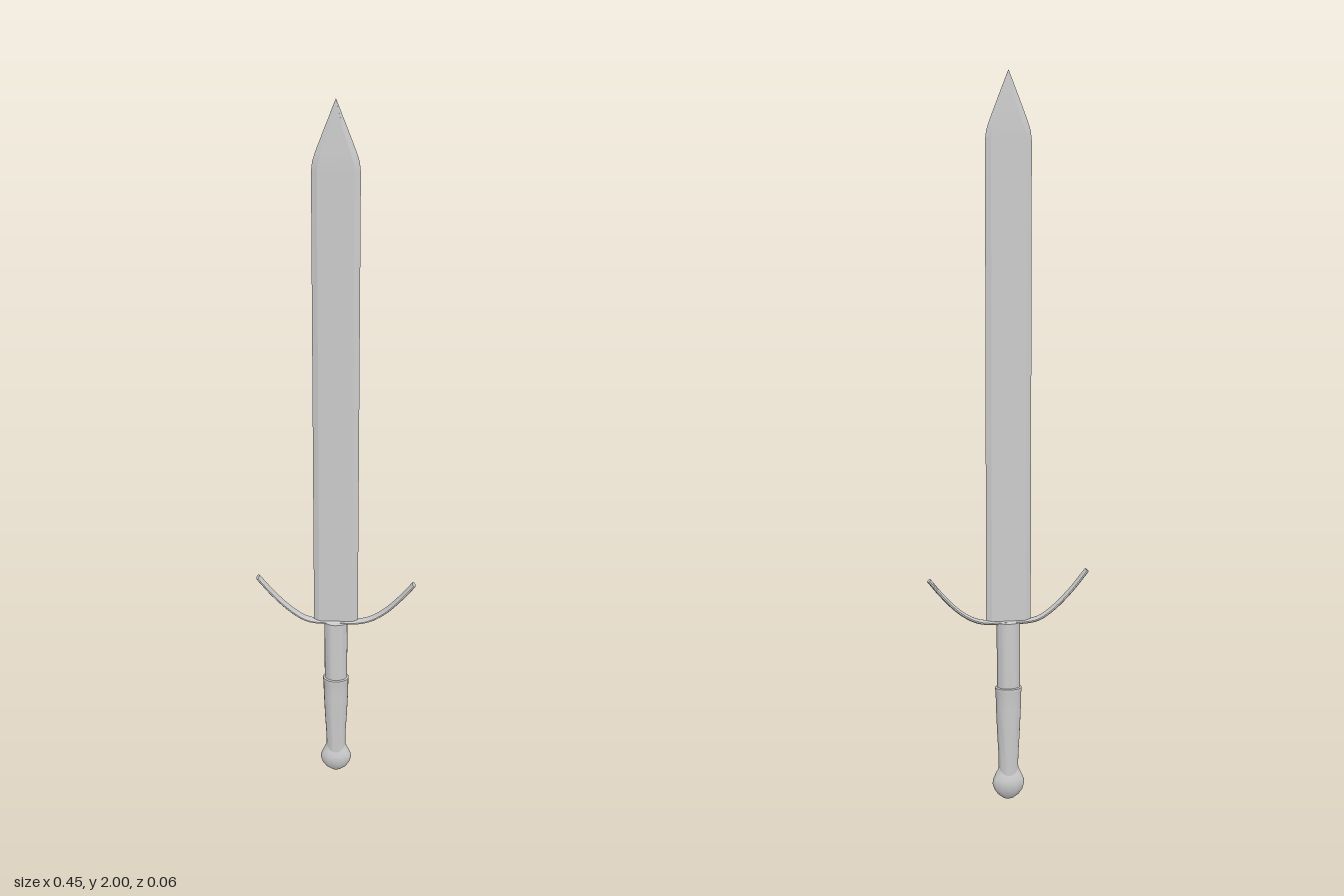
import * as THREE from 'three';
import { mergeVertices, toCreasedNormals } from 'three/addons/utils/BufferGeometryUtils.js';

const material = new THREE.MeshStandardMaterial({ color: 0xcccccc });

// Skin a list of equal-length rings and close both ends
function loft(rings, crease) {
  const n = rings[0].length;
  const index = [];
  for (let r = 0; r < rings.length - 1; r++) {
    for (let i = 0; i < n; i++) {
      const a = r * n + i, b = r * n + (i + 1) % n;
      index.push(a, b, b + n, a, b + n, a + n);
    }
  }
  const last = (rings.length - 1) * n;
  for (let i = 1; i < n - 1; i++) {
    index.push(0, i + 1, i, last, last + i, last + i + 1);
  }
  const geometry = new THREE.BufferGeometry();
  geometry.setAttribute('position', new THREE.Float32BufferAttribute(rings.flat(2), 3));
  geometry.setIndex(index);
  return toCreasedNormals(geometry, crease);
}

// Turned part squashed to an oval section
function turned(profile, depth) {
  const points = profile.map(([x, y]) => new THREE.Vector2(x, y));
  const geometry = new THREE.LatheGeometry(points, 24);
  geometry.deleteAttribute('uv');
  geometry.deleteAttribute('normal');
  geometry.scale(1, 1, depth);
  return toCreasedNormals(mergeVertices(geometry), 0.7);
}

export function createModel() {
  const group = new THREE.Group();
  const add = (name, geometry) => {
    const mesh = new THREE.Mesh(geometry, material);
    mesh.name = name;
    group.add(mesh);
  };

  // Blade: six-sided section [y, half width, half flat, half thickness]
  const sections = [
    [0.515, 0.062, 0.047, 0.008],
    [1.82, 0.062, 0.047, 0.008],
    [1.845, 0.059, 0.044, 0.008],
    [1.87, 0.051, 0.036, 0.007],
    [1.93, 0.028, 0.016, 0.004],
    [2, 0.0005, 0.0003, 0.0005],
  ];
  add('blade', loft(sections.map(([y, w, f, t]) => [
    [w, y, 0], [f, y, -t], [-f, y, -t], [-w, y, 0], [-f, y, t], [f, y, t],
  ]), 0.2));

  // Crossguard: slim strap swept along an upturned curve
  const path = new THREE.CatmullRomCurve3([
    [-0.219, 0.655], [-0.175, 0.6], [-0.125, 0.55], [-0.085, 0.523], [-0.055, 0.516],
    [0, 0.515], [0.065, 0.516], [0.1, 0.526], [0.14, 0.552], [0.185, 0.598], [0.219, 0.64],
  ].map(([x, y]) => new THREE.Vector3(x, y, 0)));
  const steps = 40, sides = 10;
  const guard = [];
  for (let s = 0; s <= steps; s++) {
    const p = path.getPointAt(s / steps), t = path.getTangentAt(s / steps);
    const ring = [];
    for (let i = 0; i < sides; i++) {
      const a = i / sides * Math.PI * 2;
      const h = Math.cos(a) * 0.006, z = Math.sin(a) * 0.0135;
      ring.push([p.x - t.y * h, p.y + t.x * h, z]);
    }
    guard.push(ring);
  }
  add('crossguard', loft(guard, 0.9));

  // Grip: straight upper half and a wider, tapering lower half
  add('upperGrip', turned([[0, 0.31], [0.032, 0.31], [0.033, 0.515], [0, 0.518]], 0.76));
  add('lowerGrip', turned([
    [0, 0.06], [0.027, 0.06], [0.028, 0.13], [0.032, 0.2], [0.035, 0.27],
    [0.036, 0.315], [0.037, 0.32], [0.037, 0.328], [0.031, 0.33], [0, 0.33],
  ], 0.78));

  // Pommel: flattened knob
  add('pommel', turned([
    [0, 0], [0.014, 0.004], [0.03, 0.016], [0.04, 0.031], [0.045, 0.048],
    [0.043, 0.06], [0.037, 0.074], [0.03, 0.088], [0.027, 0.1], [0, 0.1],
  ], 0.58));

  return group;
}
